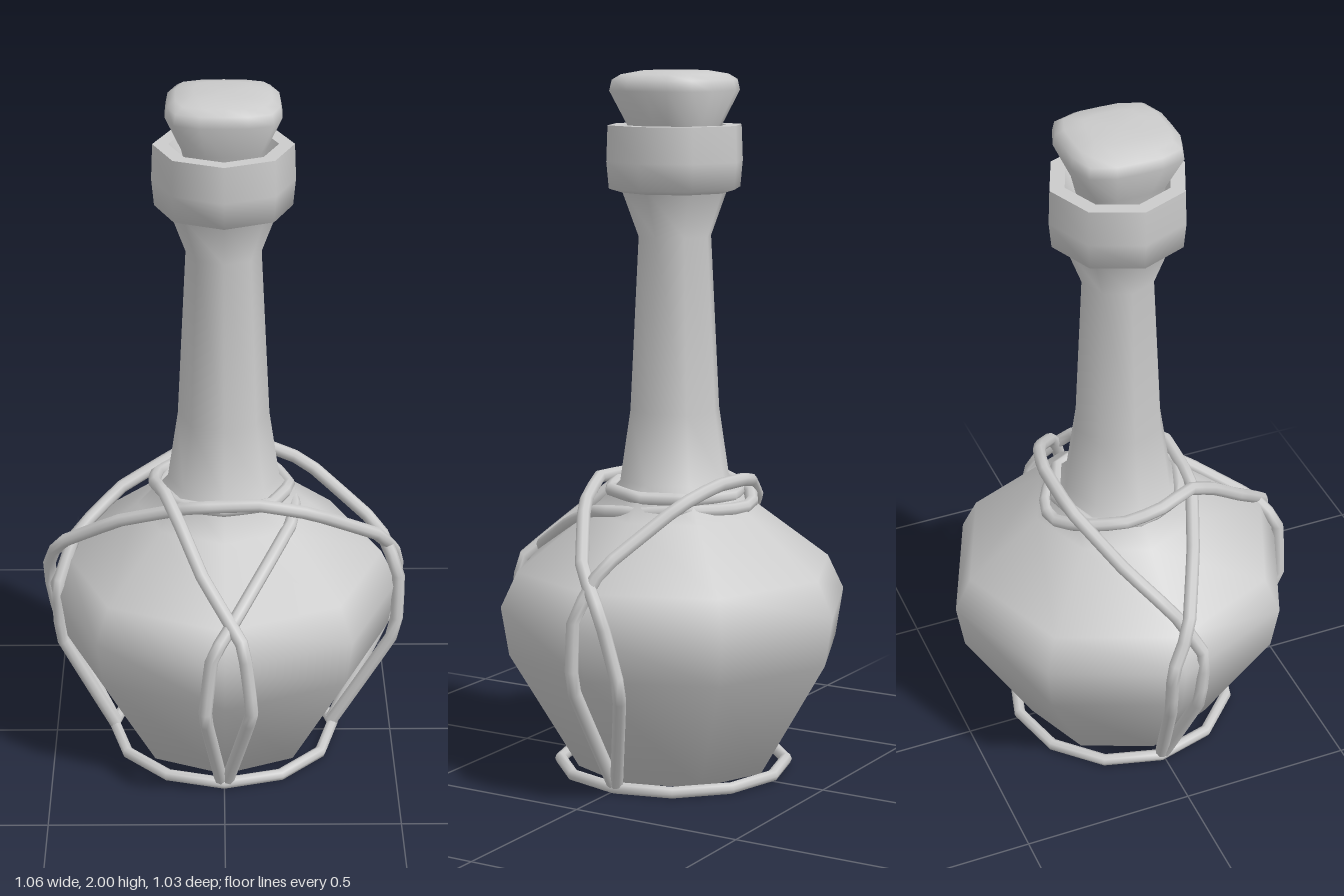
import * as THREE from 'three';
import { toCreasedNormals } from 'three/addons/utils/BufferGeometryUtils.js';

const grey = new THREE.MeshStandardMaterial({ color: 0xcccccc });
const CENTRE_Z = -0.017;

function createMesh(name, geometry, parent) {
  const mesh = new THREE.Mesh(geometry, grey);
  mesh.name = name;
  parent.add(mesh);
  return mesh;
}

// Turned profile given as [radius, height] pairs, bottom to top
function turned(profile, sides) {
  return new THREE.LatheGeometry(profile.map(([r, y]) => new THREE.Vector2(r, y)), sides);
}

// Cord running through a few points, with slightly softened bends
function cord(points, closed = false) {
  const curve = new THREE.CatmullRomCurve3(
    points.map((p) => new THREE.Vector3(...p)), closed, 'catmullrom', 0.08);
  return new THREE.TubeGeometry(curve, points.length * 3, 0.019, 8, closed);
}

export function createModel() {
  const model = new THREE.Group();
  model.name = 'corkedBottle';

  const bottle = new THREE.Group();
  bottle.name = 'bottle';
  bottle.position.z = CENTRE_Z;
  model.add(bottle);

  // Eight-sided belly and long neck
  createMesh('bottleBody', turned([
    [0, 0.015], [0.285, 0.02], [0.485, 0.36], [0.508, 0.5], [0.46, 0.6], [0.25, 0.76],
    [0.16, 0.85], [0.13, 1.05], [0.105, 1.54], [0.155, 1.675],
  ], 8), bottle);

  // Thick lip with a softly rounded underside and an open mouth
  createMesh('lip', turned([
    [0.14, 1.66], [0.19, 1.675], [0.197, 1.75], [0.193, 1.85],
  ], 8), bottle);
  createMesh('mouth', toCreasedNormals(turned([
    [0.193, 1.85], [0.15, 1.85], [0.12, 1.78], [0, 1.78],
  ], 8), 0.95), bottle);

  // Cork: a turned plug pushed out to a rounded square
  const corkGeometry = turned([
    [0.095, 1.76], [0.115, 1.85], [0.158, 1.945], [0.152, 1.975], [0.13, 1.99], [0.08, 2], [0, 2],
  ], 16);
  const pos = corkGeometry.attributes.position;
  for (let i = 0; i < pos.count; i++) {
    const x = pos.getX(i), z = pos.getZ(i);
    const r = Math.hypot(x, z);
    const k = r > 1e-6 ? r / Math.pow(x ** 4 + z ** 4, 0.25) : 1;
    pos.setX(i, x * k);
    pos.setZ(i, z * k);
  }
  createMesh('cork', toCreasedNormals(corkGeometry, 1.1), bottle);

  // Cord harness: rings round foot and neck, two cords over the sides, one looped from the front
  const harness = new THREE.Group();
  harness.name = 'cordHarness';
  model.add(harness);

  const foot = createMesh('footRing', new THREE.TorusGeometry(0.327, 0.017, 8, 12), harness);
  foot.rotation.x = Math.PI / 2;
  foot.position.set(0, 0.02, -0.012);

  createMesh('neckRing', cord([
    [0, 0.83, 0.165], [0.13, 0.825, 0.12], [0.19, 0.82, -0.01], [0.14, 0.82, -0.15],
    [0, 0.815, -0.205], [-0.14, 0.81, -0.15], [-0.185, 0.815, -0.01], [-0.13, 0.825, 0.12],
  ], true), harness);

  createMesh('backCord', cord([
    [0.325, 0.03, -0.01], [0.505, 0.35, 0.01], [0.51, 0.54, 0], [0.45, 0.67, -0.05],
    [0.24, 0.82, -0.17], [0.1, 0.86, -0.21], [-0.1, 0.85, -0.205], [-0.3, 0.76, -0.12],
    [-0.43, 0.66, -0.02], [-0.48, 0.53, 0.05], [-0.475, 0.35, 0.04], [-0.325, 0.03, 0],
  ]), harness);

  createMesh('frontCord', cord([
    [0.325, 0.03, -0.02], [0.5, 0.35, -0.14], [0.515, 0.55, -0.09], [0.45, 0.67, 0.01],
    [0.25, 0.8, 0.13], [0.1, 0.85, 0.175], [-0.1, 0.84, 0.17], [-0.3, 0.76, 0.09],
    [-0.48, 0.64, 0], [-0.515, 0.53, -0.06], [-0.48, 0.35, -0.05], [-0.325, 0.03, -0.01],
  ]), harness);

  createMesh('neckCord', cord([
    [-0.01, 0.03, 0.31], [-0.055, 0.35, 0.485], [-0.035, 0.54, 0.485], [0.02, 0.61, 0.43],
    [0.13, 0.72, 0.25], [0.19, 0.77, 0.13], [0.205, 0.78, 0], [0.16, 0.79, -0.14],
    [0.06, 0.785, -0.22], [-0.04, 0.785, -0.245], [-0.13, 0.81, -0.19], [-0.19, 0.83, -0.08],
    [-0.2, 0.85, 0.02], [-0.165, 0.87, 0.14], [-0.12, 0.81, 0.23], [-0.06, 0.71, 0.34],
    [0.05, 0.57, 0.475], [0.075, 0.36, 0.485], [0.01, 0.03, 0.31],
  ]), harness);

  return model;
}
